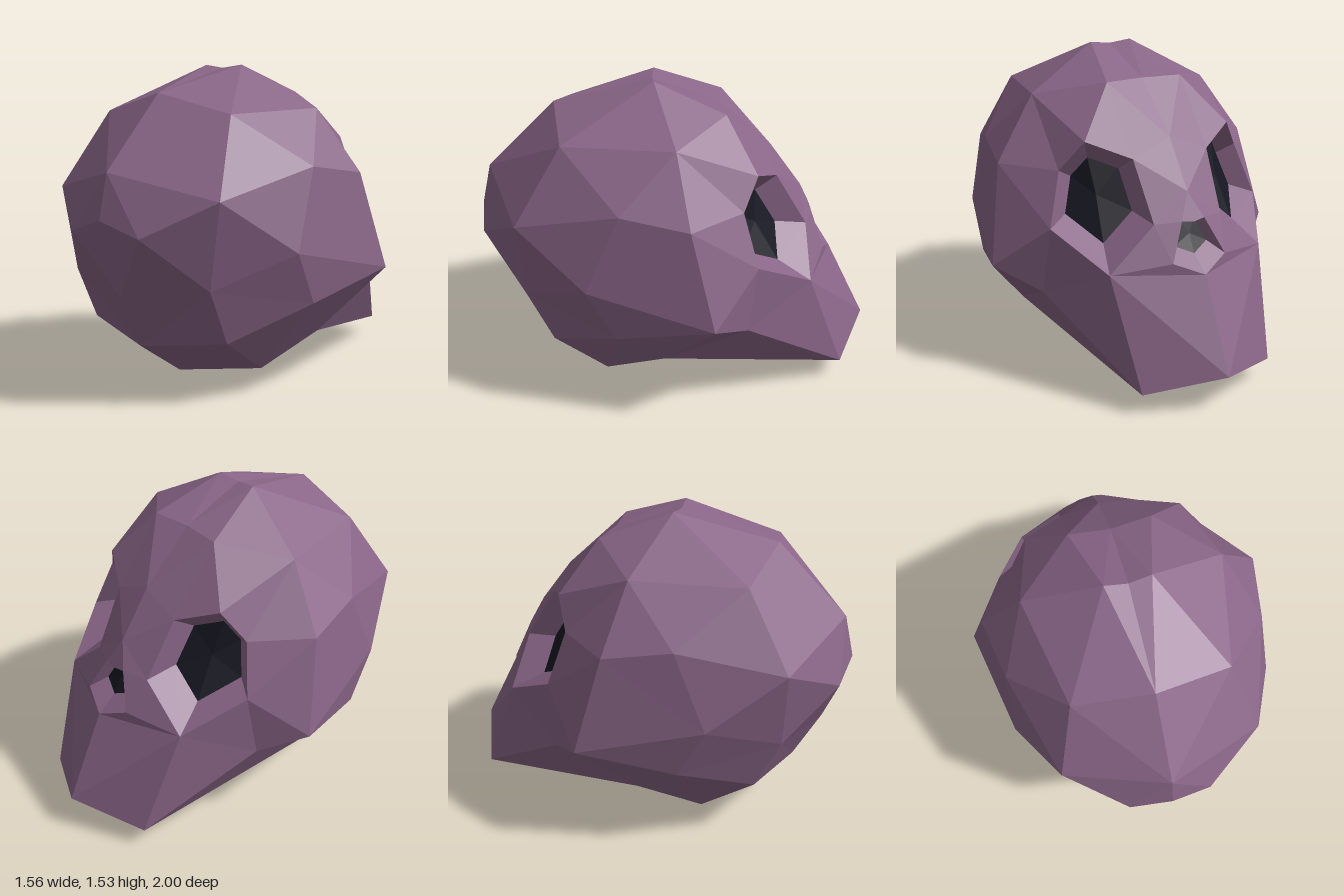
import * as THREE from 'three';

const bone = new THREE.MeshStandardMaterial({ color: 0x8a6688, flatShading: true, side: THREE.DoubleSide });
const dark = new THREE.MeshStandardMaterial({ color: 0x161622, flatShading: true, side: THREE.DoubleSide });
const v = (x, y, z) => new THREE.Vector3(x, y, z);
const flip = (p) => v(-p.x, p.y, p.z);

// Landmarks of the left half, x >= 0; the face looks towards -z
const nape = v(0, 0.06, 0.48), noseTop = v(0, 0.82, -0.68), noseBase = v(0, 0.6, -0.79);
const noseUpper = v(0.06, 0.83, -0.675), noseSide = v(0.14, 0.66, -0.735);
const baseCorner = v(0.41, 0.12, 0.37), backLow = v(0.41, 0.56, 0.75), backMid = v(0.2, 0.8, 0.97);
const backSide = v(0.48, 0.96, 0.77), sideLow = v(0.66, 0.46, 0.31), ear = v(0.54, 0.26, 0.08);
const temple = v(0.69, 1.03, -0.04), cheek = v(0.78, 0.565, -0.15), cheekLow = v(0.6, 0.46, -0.32);
const jaw = v(0.35, 0.1, -0.83), teeth = v(0, 0.18, -1), chin = v(0, 0, -0.64);
const palateFront = v(0, 0.19, -0.36), palateBack = v(0, 0.2, -0.22);

// Rim of the eye socket, inner edge first, going over the brow
const eyeRim = [v(0.18, 0.82, -0.63), v(0.2, 1.09, -0.47), v(0.39, 1.17, -0.36),
  v(0.49, 1.03, -0.29), v(0.57, 0.78, -0.36), v(0.41, 0.62, -0.635)];
const [eyeIn, browIn, browTop, browOut, eyeOut, eyeLow] = eyeRim;

// Cranium lines running from the base, up the back and over the crown to the face
const midline = [nape, v(0, 0.245, 0.75), v(0, 0.5, 0.88), v(0, 0.865, 1), v(0, 1.07, 0.95),
  v(0, 1.405, 0.61), v(0, 1.52, 0.13), v(0, 1.4, -0.2), v(0, 1.17, -0.46), v(0, 0.95, -0.62), noseTop];
const line1 = [baseCorner, v(0.41, 0.3, 0.63), backLow, backMid, backSide, v(0.37, 1.315, 0.55),
  v(0.11, 1.535, 0.12), v(0.2, 1.4, -0.22), browIn, eyeIn, noseUpper];
const line2 = [baseCorner, sideLow, v(0.66, 0.71, 0.44), v(0.63, 1.08, 0.28), v(0.48, 1.33, 0.02), browTop];
const line3 = [ear, cheek, temple, browOut];

// Skins two neighbouring lines with triangles, always taking the shorter diagonal
function skin(inner, outer) {
  const tris = [];
  let i = 0, j = 0;
  while (i < inner.length - 1 || j < outer.length - 1) {
    const stepInner = j === outer.length - 1 || (i < inner.length - 1 &&
      inner[i + 1].distanceTo(outer[j]) <= inner[i].distanceTo(outer[j + 1]));
    tris.push([inner[i], outer[j], stepInner ? inner[++i] : outer[++j]]);
  }
  return tris;
}

function meshOf(name, tris, material) {
  const geometry = new THREE.BufferGeometry().setFromPoints(tris.flat());
  geometry.computeVertexNormals();
  const mesh = new THREE.Mesh(geometry, material);
  mesh.name = name;
  return mesh;
}

// Recess: walls from the rim to a smaller, deeper outline closed by a dark floor
function recess(name, rim, scale, shift) {
  const group = new THREE.Group();
  group.name = name;
  const centre = rim.reduce((sum, p) => sum.add(p), v(0, 0, 0)).divideScalar(rim.length);
  const inner = rim.map((p) => p.clone().sub(centre).multiplyScalar(scale).add(centre).add(shift));
  const middle = centre.clone().add(shift);
  const walls = [], floor = [];
  rim.forEach((p, i) => {
    const k = (i + 1) % rim.length;
    walls.push([p, inner[i], rim[k]], [rim[k], inner[i], inner[k]]);
    floor.push([inner[i], middle, inner[k]]);
  });
  group.add(meshOf(name + 'Wall', walls, bone), meshOf(name + 'Floor', floor, dark));
  return group;
}

export function createModel() {
  const model = new THREE.Group();
  model.name = 'skull';

  const cranium = [
    ...skin(midline, line1),
    ...skin(line1.slice(0, 9).filter((p) => p !== backMid), line2),
    ...skin(line2.slice(1), line3),
    [backLow, backSide, backMid], [baseCorner, ear, sideLow],
    [palateBack, ear, baseCorner], [palateBack, baseCorner, nape],
  ];
  const face = [
    ...skin([browOut, eyeOut, eyeLow], [temple, cheek, cheekLow]),
    [ear, cheekLow, cheek], [ear, jaw, cheekLow], [cheekLow, jaw, eyeLow],
    [eyeIn, noseSide, noseUpper], [eyeIn, eyeLow, noseSide], [eyeLow, noseBase, noseSide],
    [eyeLow, teeth, noseBase], [eyeLow, jaw, teeth],
    // underside of the jaw and palate
    [teeth, jaw, chin], [chin, jaw, palateFront], [palateFront, jaw, palateBack], [palateBack, jaw, ear],
  ];
  const bothSides = (tris) => [...tris, ...tris.map(([a, b, c]) => [flip(a), flip(c), flip(b)])];
  model.add(meshOf('cranium', bothSides(cranium), bone), meshOf('face', bothSides(face), bone));

  // Eye sockets and nose opening
  const depth = v(-0.04, -0.01, 0.1);
  model.add(recess('leftEyeSocket', eyeRim, 0.66, depth));
  model.add(recess('rightEyeSocket', eyeRim.map(flip).reverse(), 0.66, flip(depth)));
  const noseRim = [noseBase, noseSide, noseUpper, noseTop, flip(noseUpper), flip(noseSide)];
  model.add(recess('noseOpening', noseRim, 0.62, v(0, 0.02, 0.07)));
  return model;
}
